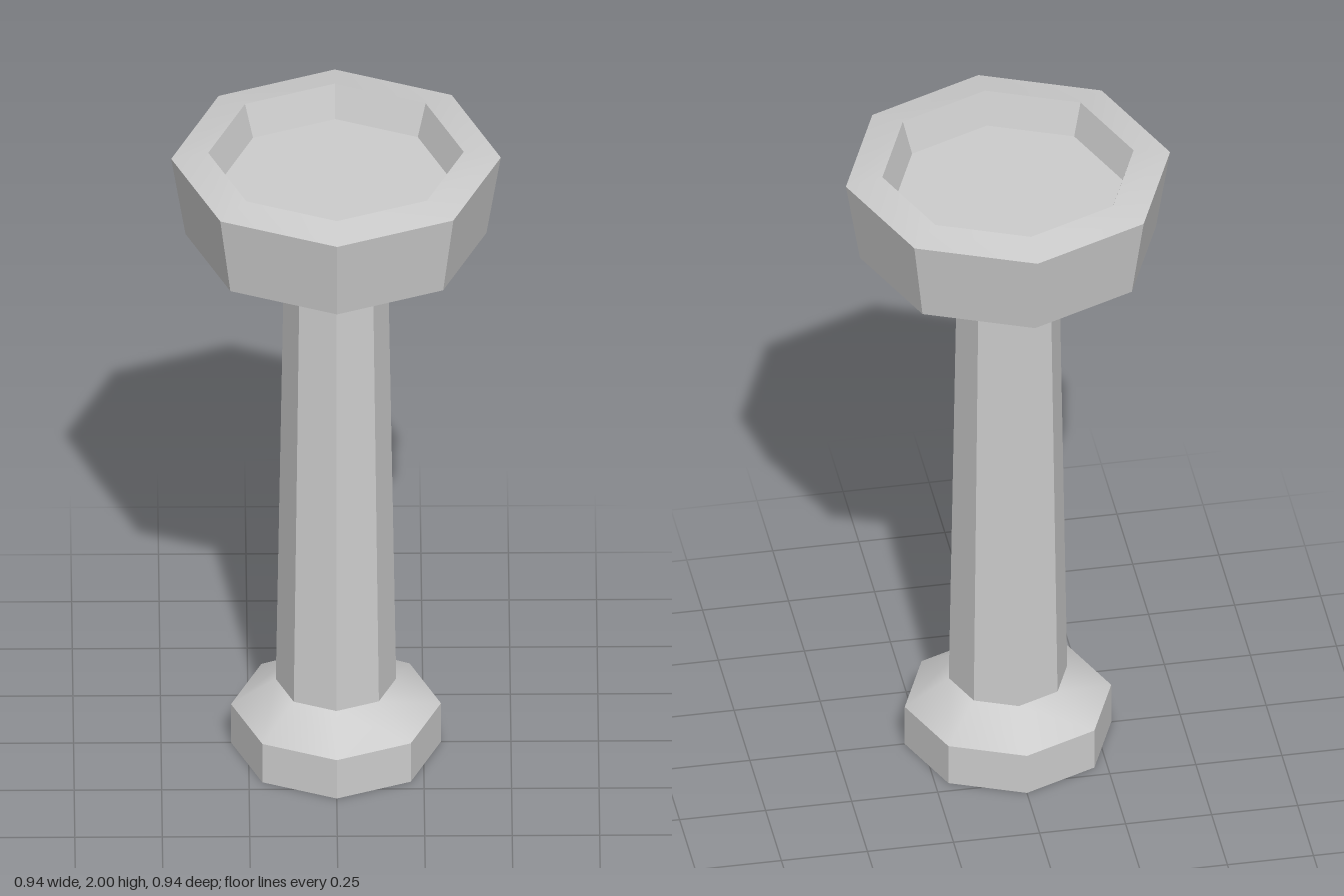
import * as THREE from 'three';
import { toCreasedNormals } from 'three/addons/utils/BufferGeometryUtils.js';

const SIDES = 8;
const CREASE = THREE.MathUtils.degToRad(35); // walls stay faceted, shallow slopes stay smooth

export function createModel() {
  const stone = new THREE.MeshStandardMaterial({ color: 0xcccccc });
  stone.name = 'stone';

  const group = new THREE.Group();
  group.name = 'pedestalBasin';

  // Octagonal part turned from a [radius, height] profile, corners on the axes
  const turned = (name, profile) => {
    const points = profile.map(([r, y]) => new THREE.Vector2(r, y));
    const geometry = toCreasedNormals(new THREE.LatheGeometry(points, SIDES), CREASE);
    const mesh = new THREE.Mesh(geometry, stone);
    mesh.name = name;
    group.add(mesh);
  };

  // Foot with a sloped shoulder
  turned('base', [[0, 0], [0.3, 0], [0.3, 0.13], [0.172, 0.215]]);

  // Slightly tapered shaft
  turned('column', [[0.172, 0.215], [0.15, 1.55]]);

  // Flared underside, outer wall, sloped rim, inner wall and floor
  turned('bowl', [
    [0.15, 1.55], [0.43, 1.725], [0.471, 1.98],
    [0.365, 2], [0.333, 1.9], [0, 1.9],
  ]);

  return group;
}
